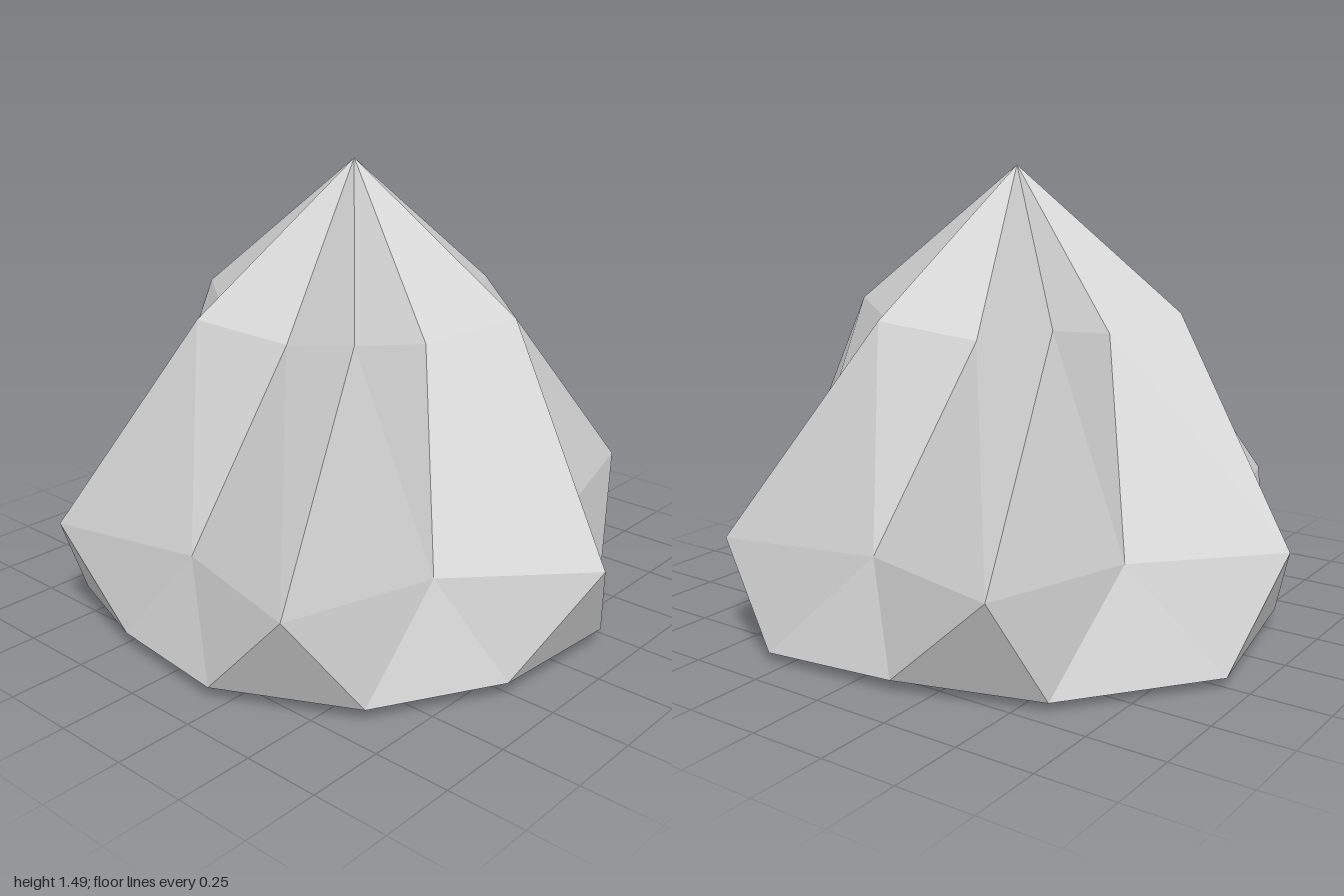
import * as THREE from 'three';

const N = 12;

// Flat-shaded mesh from a list of triangles (each three [x, y, z] corners)
function facetMesh(name, triangles) {
  const geometry = new THREE.BufferGeometry();
  geometry.setAttribute('position', new THREE.Float32BufferAttribute(triangles.flat(2), 3));
  geometry.computeVertexNormals();
  const mesh = new THREE.Mesh(geometry, new THREE.MeshStandardMaterial({ color: 0xcccccc, flatShading: true }));
  mesh.name = name;
  return mesh;
}

// Triangles between two rings, upper and lower, facing outwards
function band(upper, lower) {
  const out = [];
  for (let i = 0; i < N; i++) {
    const j = (i + 1) % N;
    if (upper.length === N) out.push([upper[i], upper[j], lower[i]]);
    out.push([lower[i], upper[j] ?? upper[0], lower[j]]);
  }
  return out;
}

export function createModel() {
  const group = new THREE.Group();
  group.name = 'twistedDollop';

  const apex = [0, 1.49, 0];

  // Shoulder ring: ridges and grooves alternate, twisted back by about 15 degrees
  const shoulder = [
    [0.55, -0.14], [0.4, 0.12], [0.375, 0.42], [0.09, 0.41], [-0.18, 0.53], [-0.29, 0.31],
    [-0.54, 0.14], [-0.39, -0.05], [-0.4, -0.39], [-0.13, -0.4], [0.14, -0.54], [0.3, -0.29],
  ].map(([x, z], i) => [x, i % 2 ? 0.975 : 1.03, z]);

  // Widest ring: a regular six-pointed star
  const star = Array.from({ length: N }, (_, i) => {
    const a = (i * Math.PI) / 6, r = i % 2 ? 0.745 : 1;
    return [r * Math.cos(a), 0.36, r * Math.sin(a)];
  });

  // Uneven rim at the bottom, twisted forward by about 15 degrees
  const rim = [
    [0.86, 0.055, 0.28], [0.63, 0.045, 0.66], [0.2, 0.043, 0.875], [-0.22, 0.055, 0.84],
    [-0.62, 0.03, 0.69], [-0.83, 0.05, 0.3], [-0.93, 0.035, -0.26], [-0.59, 0.03, -0.69],
    [-0.14, 0.04, -0.845], [0.31, 0.03, -0.885], [0.655, 0.045, -0.57], [0.89, 0.055, -0.185],
  ];

  // Shallow keel under the base
  const keel = Array.from({ length: N }, (_, i) => {
    const a = ((i + 0.5) * Math.PI) / 6;
    return [0.32 * Math.cos(a), 0, 0.08 * Math.sin(a)];
  });

  const tip = shoulder.map((p, i) => [p, apex, shoulder[(i + 1) % N]]);
  const floor = keel.map((p, i) => [p, keel[(i + 1) % N], [0, 0, 0]]);

  group.add(
    facetMesh('tip', tip),
    facetMesh('swirlBody', band(shoulder, star)),
    facetMesh('lowerSkirt', band(star, rim)),
    facetMesh('base', [...band(rim, keel), ...floor]),
  );
  return group;
}
